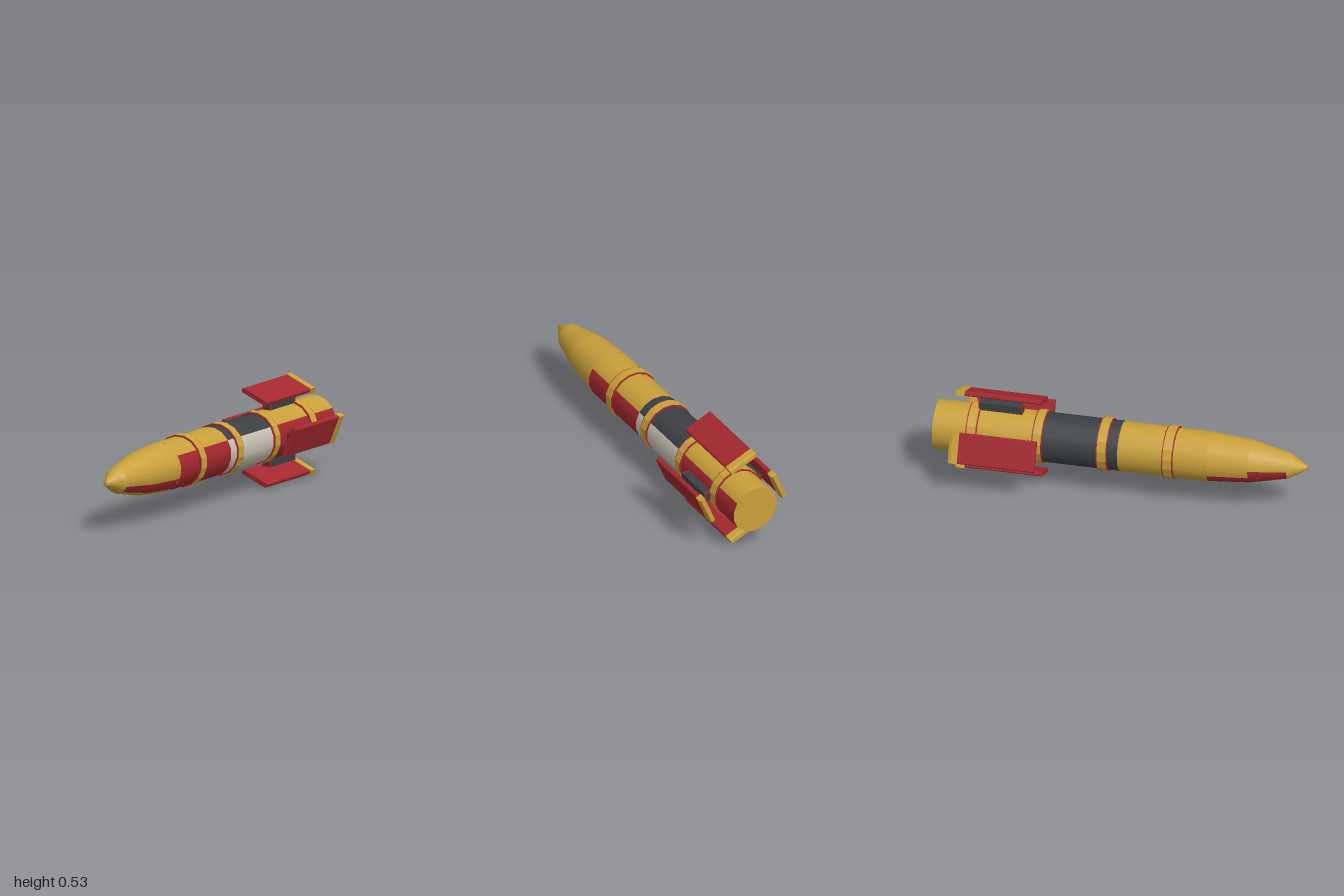
import * as THREE from 'three';

const paint = (color) => new THREE.MeshStandardMaterial({ color });
const GOLD = paint(0xc9a03a), RED = paint(0xa3282e), DARK = paint(0x3c4043), WHITE = paint(0xc8c1b3);
const AXIS = 0.27, R = 0.133;
const rad = THREE.MathUtils.degToRad;

function add(parent, name, geometry, material) {
  const mesh = new THREE.Mesh(geometry, material);
  mesh.name = name;
  parent.add(mesh);
  return mesh;
}

// Surface of revolution about z; profile is [radius, z] in rising z, angles in degrees from +x
function arc(parent, name, material, profile, from, to) {
  const segments = Math.max(1, Math.round((to - from) / 22.5));
  const points = profile.map(([r, z]) => new THREE.Vector2(r, z));
  const geometry = new THREE.LatheGeometry(points, segments, rad(from + 90), rad(to - from));
  geometry.rotateX(Math.PI / 2);
  return add(parent, name, geometry, material);
}

// One section in two colours: the lower right panel, and the rest
function section(parent, name, profile, from, to, panel, base) {
  arc(parent, name + 'Panel', panel, profile, from, to);
  arc(parent, name + 'Shell', base, profile, to, from + 360);
}

// Gold band with narrow red edges
function band(parent, z, width) {
  const h = width / 2, ring = (r, w) => [[R - 0.01, z - w], [r, z - w], [r, z + w], [R - 0.01, z + w]];
  const geometryOf = (r, w) => {
    const g = new THREE.LatheGeometry(ring(r, w).map(([a, b]) => new THREE.Vector2(a, b)), 16, rad(78.75));
    const flat = g.rotateX(Math.PI / 2).toNonIndexed();
    flat.computeVertexNormals();
    return flat;
  };
  add(parent, 'bandEdges', geometryOf(0.1405, h), RED);
  add(parent, 'band', geometryOf(0.143, h - 0.006), GOLD);
}

// Plate cross-section with chamfered corners
function plateShape(w, t, c) {
  return new THREE.Shape([
    [-w + c, -t], [w - c, -t], [w, -t + c], [w, t - c], [w - c, t], [-w + c, t], [-w, t - c], [-w, -t + c],
  ].map(([x, y]) => new THREE.Vector2(x, y)));
}

// Pylon and tilted fin on the top side
function finAssembly() {
  const group = new THREE.Group();
  group.name = 'finAssembly';

  const pylon = add(group, 'pylon', new THREE.BoxGeometry(0.05, 0.055, 0.23), DARK);
  pylon.position.set(0, 0.1475, -0.655);
  for (const s of [1, -1]) {
    const frame = add(group, 'pylonFrame', new THREE.BoxGeometry(0.052, 0.056, 0.006), RED);
    frame.position.set(0, 0.148, -0.655 + s * 0.115);
    const inset = add(group, 'pylonInset', new THREE.BoxGeometry(0.036, 0.046, 0.004), DARK);
    inset.position.set(0, 0.144, -0.655 + s * 0.118);
  }

  const fin = new THREE.Group();
  fin.name = 'fin';
  fin.position.y = 0.2195;
  fin.rotation.z = rad(-22.5);
  const blade = new THREE.ExtrudeGeometry(plateShape(0.083, 0.0125, 0.005), { depth: 0.42, bevelEnabled: false });
  add(fin, 'finBlade', blade, RED).position.z = -0.84;

  // Trailing cap, tapered toward the rear
  const profile = [[0.835, -0.0165], [0.87, -0.0165], [0.885, -0.011], [0.885, 0.011], [0.87, 0.0165], [0.835, 0.0165]];
  const capShape = new THREE.Shape(profile.map(([x, y]) => new THREE.Vector2(x, y)));
  const cap = new THREE.ExtrudeGeometry(capShape, { depth: 0.168, bevelEnabled: false });
  cap.translate(0, 0, -0.084).rotateY(Math.PI / 2);
  add(fin, 'finCap', cap, GOLD);
  group.add(fin);
  return group;
}

export function createModel() {
  const model = new THREE.Group();
  model.name = 'rocket';
  const body = new THREE.Group();
  body.name = 'body';
  body.position.y = AXIS;
  model.add(body);

  // Nose tip and curved nose with red patches underneath
  arc(body, 'noseTip', GOLD, [[0.07, 0.9], [0.016, 0.99], [0.014, 1], [0, 1]], -11.25, 348.75);
  const noseRings = [
    { profile: [[0.115, 0.7], [0.07, 0.9]], start: 180 },
    { profile: [[R, 0.48], [0.115, 0.7]], start: 202 },
  ];
  for (const { profile, start } of noseRings) {
    arc(body, 'nosePatchLeft', RED, profile, start, 278);
    arc(body, 'nosePatchGap', GOLD, profile, 278, 306);
    arc(body, 'nosePatchRight', RED, profile, 306, 338);
    arc(body, 'noseShell', GOLD, profile, -22, start);
  }

  // Straight body
  const tube = (z0, z1) => [[R, z0], [R, z1]];
  section(body, 'foreBody', tube(0, 0.48), -123.75, 33.75, RED, GOLD);
  section(body, 'midBody', tube(-0.42, 0), -101.25, 33.75, WHITE, DARK);
  section(body, 'rearBody', tube(-1, -0.42), -123.75, 33.75, RED, GOLD);
  arc(body, 'rearCap', GOLD, [[0, -1], [R, -1]], -11.25, 348.75);

  for (const [z, width] of [[0.27, 0.06], [-0.085, 0.06], [-0.435, 0.056], [-0.79, 0.06]]) band(body, z, width);

  // Four fins around the axis
  for (let i = 0; i < 4; i++) {
    const assembly = finAssembly();
    assembly.rotation.z = i * Math.PI / 2;
    body.add(assembly);
  }
  return model;
}
